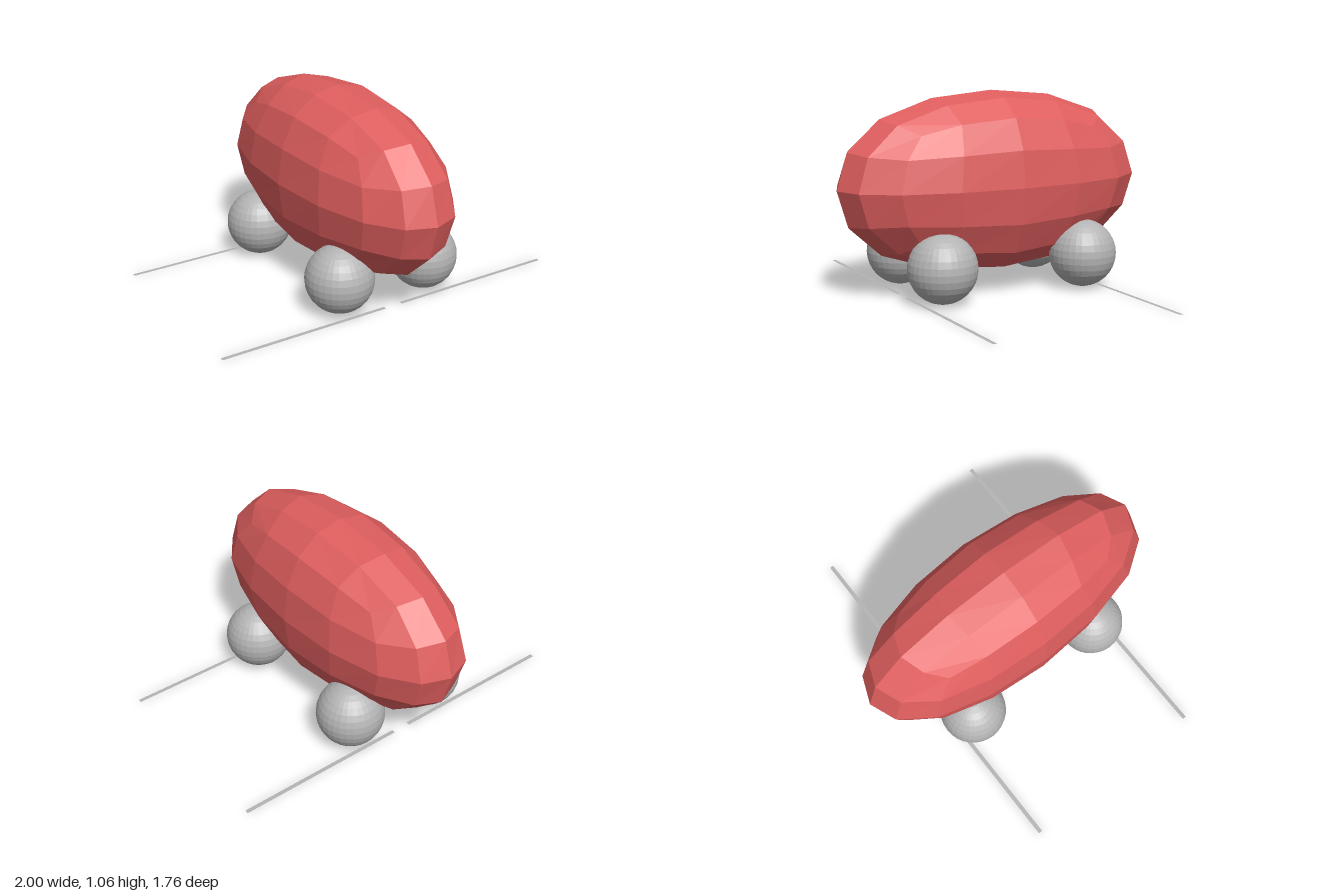
import * as THREE from 'three';

const red = new THREE.MeshStandardMaterial({ color: 0xdf5e5e, flatShading: true });
red.name = 'body red';
const grey = new THREE.MeshStandardMaterial({ color: 0xb4b4b4, flatShading: true, side: THREE.DoubleSide });
grey.name = 'wheel grey';

// Twice-smoothed cube: coordinates by grid level (0 centre, 1 half, 2 edge),
// keyed on the vertex's three levels in descending order.
const SMOOTH = {
  '200': [0, 0, 0.878],
  '210': [0, 0.351, 0.82],
  '220': [0, 0, 0.643],
  '211': [0, 0.326, 0.764],
  '221': [0, 0.302, 0.599],
  '222': [0, 0, 0.509],
};

function smoothedCube(sx, sy, sz) {
  const geometry = new THREE.BoxGeometry(4, 4, 4, 4, 4, 4);
  const pos = geometry.attributes.position;
  for (let i = 0; i < pos.count; i++) {
    const p = [pos.getX(i), pos.getY(i), pos.getZ(i)].map(Math.round);
    const levels = p.map(Math.abs);
    const row = SMOOTH[[...levels].sort((a, b) => b - a).join('')];
    const [x, y, z] = p.map((v, k) => Math.sign(v) * row[levels[k]]);
    pos.setXYZ(i, x * sx, y * sy, z * sz);
  }
  const flat = geometry.toNonIndexed();
  flat.computeVertexNormals();
  return flat;
}

export function createModel() {
  const model = new THREE.Group();
  model.name = 'car';

  // Faceted egg-shaped body
  const body = new THREE.Mesh(smoothedCube(0.425, 0.55, 1.005), red);
  body.name = 'body';
  body.position.y = 0.582;
  model.add(body);

  // Ball wheels and flat ground strips, one at each corner
  const ball = new THREE.SphereGeometry(0.182, 32, 16);
  const strip = new THREE.PlaneGeometry(0.95, 0.022).rotateX(-Math.PI / 2);
  for (const sz of [1, -1]) {
    for (const sx of [1, -1]) {
      const label = (sz > 0 ? 'front' : 'back') + (sx > 0 ? 'Left' : 'Right');

      const wheel = new THREE.Mesh(ball, grey);
      wheel.name = label + 'Wheel';
      wheel.position.set(sx * 0.263, 0.187, sz * 0.421);
      model.add(wheel);

      const bar = new THREE.Mesh(strip, grey);
      bar.name = label + 'Strip';
      bar.position.set(sx * 0.525, 0, sz * 0.525);
      model.add(bar);
    }
  }
  return model;
}
